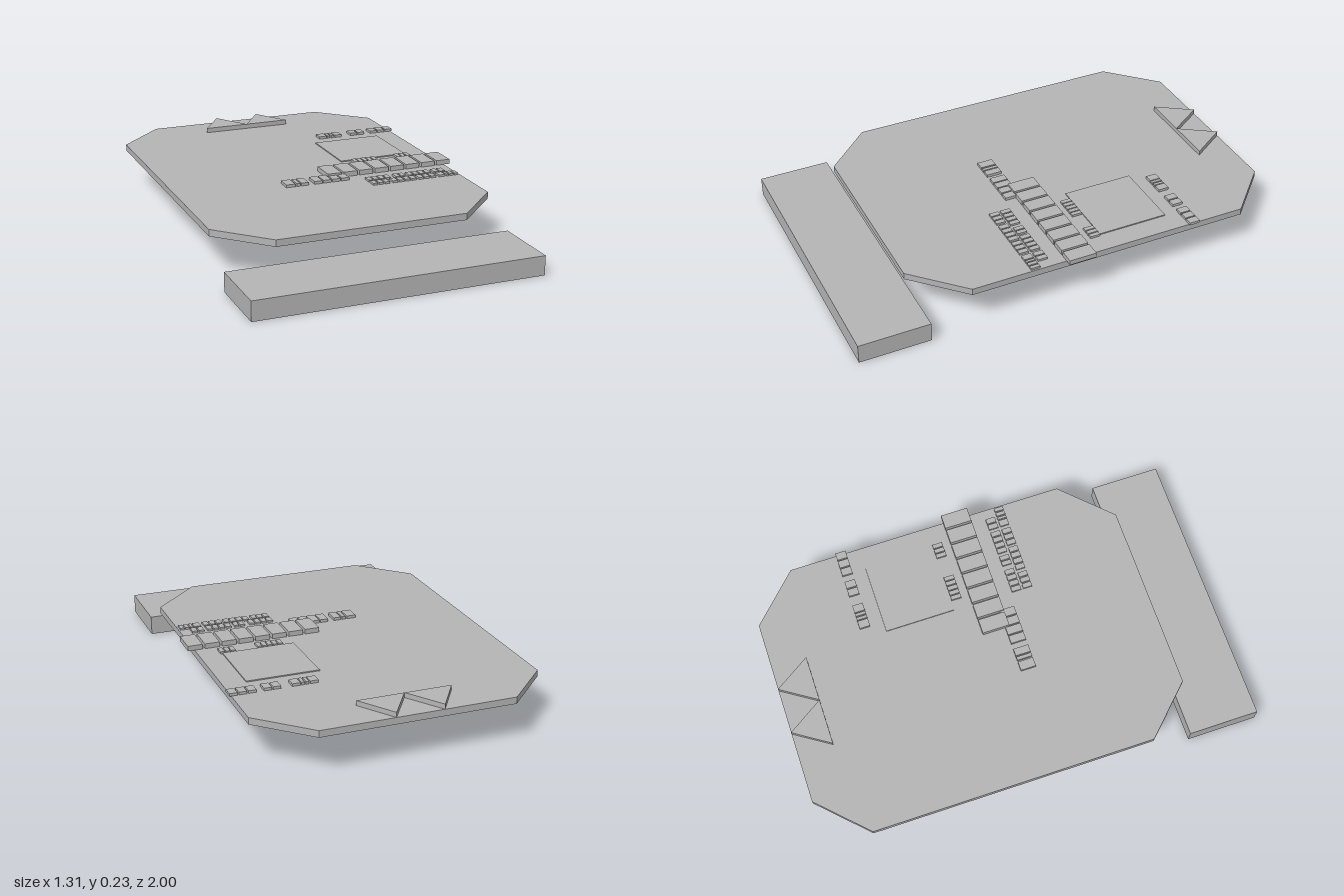
import * as THREE from 'three';

export function createModel() {
  const model = new THREE.Group();
  const grey = new THREE.MeshStandardMaterial({ color: 0xb4b4b4 });
  grey.name = 'plain grey';

  const add = (name, geometry, parent = model) => {
    const mesh = new THREE.Mesh(geometry, grey);
    mesh.name = name;
    parent.add(mesh);
  };
  // Box given by its limits on each axis
  const box = (name, x0, x1, y0, y1, z0, z1, parent) => {
    const g = new THREE.BoxGeometry(x1 - x0, y1 - y0, z1 - z0);
    g.translate((x0 + x1) / 2, (y0 + y1) / 2, (z0 + z1) / 2);
    add(name, g, parent);
  };
  // Upright slab from an outline of [x, z] points
  const slab = (name, points, y0, y1) => {
    const shape = new THREE.Shape(points.map(([x, z]) => new THREE.Vector2(x, -z)));
    const g = new THREE.ExtrudeGeometry(shape, { depth: y1 - y0, bevelEnabled: false });
    g.rotateX(-Math.PI / 2).translate(0, y0, 0);
    add(name, g);
  };

  const TOP = 0.204;

  // Separate bar in front and the clipped-corner plate
  box('frontBar', -0.655, 0.625, 0, 0.087, 0.68, 1);
  slab('mainPlate', [
    [-0.445, 0.71], [0.41, 0.71], [0.625, 0.495], [0.625, -0.79],
    [0.41, -1], [-0.445, -1], [-0.655, -0.79], [-0.655, 0.495],
  ], 0.174, TOP);

  // Twin triangular peaks at the back edge
  for (const x of [-0.125, 0.085]) {
    slab('peak', [[x - 0.105, -0.84], [x + 0.105, -0.84], [x, -1]], TOP, 0.226);
  }

  // Thin square panel
  box('squarePanel', 0.2, 0.525, TOP, 0.209, -0.465, -0.145);

  // Row of large raised tiles
  const large = new THREE.Group();
  large.name = 'largeTileRow';
  model.add(large);
  for (let i = 0; i < 8; i++) {
    const x = 0.046 + i * 0.0774;
    box('largeTile', x, x + 0.067, TOP, 0.226, -0.06, 0.065, large);
  }

  // Rows of small blocks: each run is [first x, last x, count]
  const row = (name, z0, z1, top, gap, runs) => {
    const group = new THREE.Group();
    group.name = name;
    model.add(group);
    for (const [a, b, n] of runs) {
      const pitch = (b - a + gap) / n;
      for (let i = 0; i < n; i++) {
        const x = a + i * pitch;
        box('block', x, x + pitch - gap, TOP, top, z0, z1, group);
      }
    }
  };
  row('middleBlockRow', 0.045, 0.115, 0.217, 0.006, [
    [-0.172, -0.13, 1], [-0.122, -0.106, 1], [-0.1, -0.066, 1], [-0.038, 0.129, 4],
  ]);
  row('upperSmallRow', 0.13, 0.174, 0.213, 0.006, [
    [0.198, 0.308, 4], [0.332, 0.38, 2], [0.396, 0.506, 4], [0.522, 0.577, 2],
  ]);
  row('lowerSmallRow', 0.184, 0.226, 0.213, 0.006, [
    [0.198, 0.278, 3], [0.294, 0.41, 4], [0.422, 0.506, 3],
    [0.522, 0.552, 1], [0.558, 0.57, 1], [0.576, 0.617, 2],
  ]);
  row('panelBackRow', -0.575, -0.527, 0.216, 0.006, [
    [0.247, 0.284, 1], [0.289, 0.322, 2], [0.327, 0.363, 1],
    [0.411, 0.485, 2], [0.517, 0.633, 3],
  ]);
  row('panelFrontRow', -0.142, -0.096, 0.214, 0.005, [
    [0.247, 0.363, 5], [0.464, 0.533, 3],
  ]);

  return model;
}
